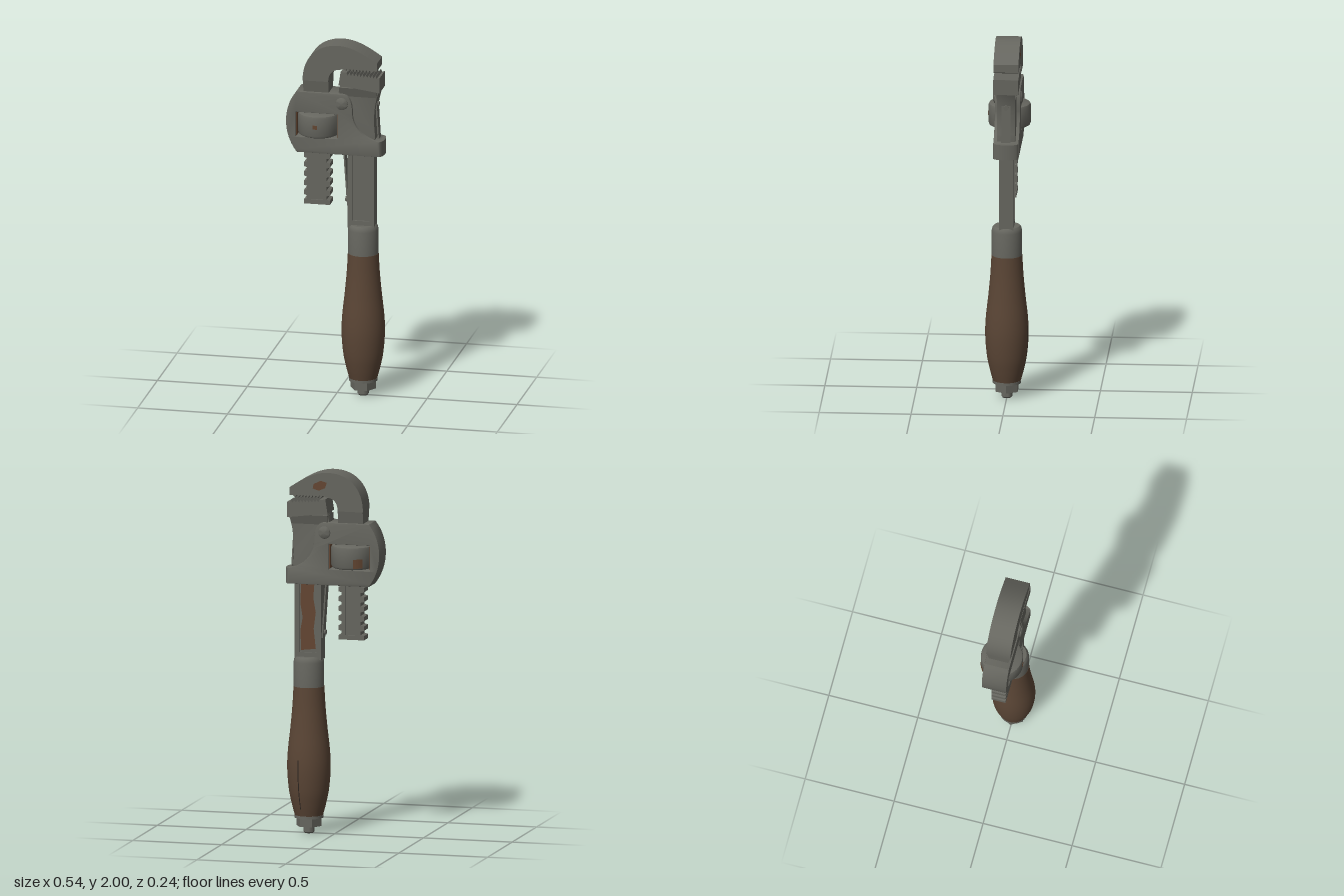
import * as THREE from 'three';
import { toCreasedNormals } from 'three/addons/utils/BufferGeometryUtils.js';

const mat = (name, color, side = THREE.FrontSide) =>
  new THREE.MeshStandardMaterial({ name, color, side });

export function createModel() {
  const group = new THREE.Group();
  const metal = mat('steel', 0x66665f);
  const wood = mat('wood', 0x5a4535);
  const rust = mat('rust', 0x634632, THREE.DoubleSide);
  const dark = mat('darkGap', 0x2c2520, THREE.DoubleSide);

  const add = (name, geometry, material, x = 0, y = 0, z = 0) => {
    const mesh = new THREE.Mesh(geometry, material);
    mesh.name = name;
    mesh.position.set(x, y, z);
    group.add(mesh);
    return mesh;
  };
  const poly = (pts) => new THREE.Shape(pts.map(([x, y]) => new THREE.Vector2(x, y)));
  const rect = (x0, y0, x1, y1) => poly([[x0, y0], [x1, y0], [x1, y1], [x0, y1]]);

  // Symmetric extrusion about z = 0, keeping the drawn outline
  const slab = (name, shape, half, bevel = 0, material = metal) => {
    const g = new THREE.ExtrudeGeometry(shape, {
      depth: 2 * (half - bevel), curveSegments: 20, bevelEnabled: bevel > 0,
      bevelSize: bevel, bevelThickness: bevel, bevelOffset: -bevel, bevelSegments: 2,
    });
    g.translate(0, 0, bevel - half);
    return add(name, toCreasedNormals(g, 0.5), material);
  };
  // Block whose half depth changes from bottom to top
  const flare = (name, x0, x1, y0, y1, bottom, top) => {
    const g = new THREE.BoxGeometry(x1 - x0, y1 - y0, 2);
    const p = g.attributes.position;
    for (let i = 0; i < p.count; i++) p.setZ(i, p.getZ(i) * (p.getY(i) > 0 ? top : bottom));
    g.computeVertexNormals();
    return add(name, g, metal, (x0 + x1) / 2, (y0 + y1) / 2);
  };
  const lathe = (name, pts, material, x, segments = 48, start = 0, length = Math.PI * 2) => {
    const g = new THREE.LatheGeometry(pts.map(([r, y]) => new THREE.Vector2(r, y)), segments, start, length);
    return add(name, toCreasedNormals(g, 0.6), material, x);
  };

  // Wooden grip
  const axis = 0.145;
  const gripCurve = new THREE.SplineCurve([
    [0.077, 0.1], [0.093, 0.16], [0.109, 0.24], [0.118, 0.35], [0.115, 0.45],
    [0.101, 0.58], [0.09, 0.7], [0.084, 0.81],
  ].map(([r, y]) => new THREE.Vector2(r, y)));
  const grip = gripCurve.getPoints(40).map((p) => [p.x, p.y]);
  lathe('grip', [[0, 0.1], ...grip, [0, 0.81]], wood, axis);
  // Split in the wood
  const crack = grip.filter(([, y]) => y > 0.13 && y < 0.42).map(([r, y]) => [r + 0.0015, y]);
  lathe('gripCrack', crack, dark, axis, 2, Math.PI - 0.28, 0.05);

  // Ferrule and end fittings
  lathe('ferrule', [[0, 0.805], [0.083, 0.805], [0.083, 0.945], [0.079, 0.965], [0.07, 0.975], [0, 0.975]], metal, axis);
  lathe('endWasher', [[0, 0.085], [0.078, 0.085], [0.078, 0.1], [0, 0.1]], metal, axis);
  const hex = new THREE.CylinderGeometry(0.07, 0.07, 0.047, 6).toNonIndexed();
  hex.computeVertexNormals();
  hex.rotateY(Math.PI / 6 * 3);
  add('endNut', hex, metal, axis, 0.0625);
  lathe('endStud', [[0, 0], [0.024, 0], [0.03, 0.008], [0.03, 0.05], [0, 0.05]], metal, axis, 24);

  // Main shank: thin web inside a raised rim
  const rim = rect(0.066, 0.96, 0.214, 1.42);
  rim.holes.push(rect(0.092, 1.0, 0.188, 1.4));
  slab('shankRim', rim, 0.04);
  slab('shankWeb', rect(0.08, 0.98, 0.2, 1.41), 0.029);
  const stain = poly([
    [0.098, 1.02], [0.18, 1.01], [0.185, 1.12], [0.172, 1.19], [0.185, 1.27],
    [0.18, 1.39], [0.105, 1.39], [0.112, 1.3], [0.098, 1.22], [0.11, 1.13],
  ]);
  add('shankRust', new THREE.ShapeGeometry(stain), rust, 0, 0, -0.0305);

  // Fixed heel jaw and its neck
  const neck = new THREE.Shape();
  neck.moveTo(0.066, 1.38);
  neck.lineTo(0.216, 1.38);
  neck.lineTo(0.222, 1.5);
  neck.quadraticCurveTo(0.205, 1.64, 0.245, 1.75);
  neck.lineTo(0.03, 1.78);
  neck.lineTo(0.01, 1.7);
  neck.lineTo(0.03, 1.5);
  slab('jawNeck', neck, 0.05, 0.004);
  flare('jawFlare', 0.024, 0.232, 1.71, 1.762, 0.05, 0.066);
  const heel = [[0.022, 1.775], [0.25, 1.745], [0.25, 1.83]];
  const teeth = 10;
  for (let i = 0; i < teeth; i++) {
    const x = 0.235 - i * 0.018, y = 1.826 + i * 0.001;
    heel.push([x, y], [x - 0.006, y + 0.015]);
  }
  heel.push([0.05, 1.85], [0.034, 1.853]);
  slab('heelJaw', poly(heel), 0.068);

  // Sliding hook jaw
  const hook = new THREE.Shape();
  hook.moveTo(-0.178, 1.79);
  hook.bezierCurveTo(-0.178, 1.92, -0.1, 2.0, 0.02, 2.0);
  hook.bezierCurveTo(0.1, 2.0, 0.17, 1.955, 0.235, 1.912);
  hook.lineTo(0.235, 1.868);
  hook.lineTo(0.215, 1.868);
  for (let i = 0; i < 9; i++) {
    const x = 0.212 - i * 0.018;
    hook.lineTo(x - 0.006, 1.856);
    hook.lineTo(x - 0.018, 1.872);
  }
  hook.lineTo(0.03, 1.864);
  hook.quadraticCurveTo(-0.035, 1.86, -0.035, 1.79);
  slab('hookJaw', hook, 0.068);
  flare('hookNeck', -0.176, -0.035, 1.7, 1.791, 0.05, 0.066);
  const patch = poly([[0.025, 1.945], [0.06, 1.955], [0.1, 1.935], [0.105, 1.91], [0.07, 1.9], [0.035, 1.915]]);
  add('hookRust', new THREE.ShapeGeometry(patch), rust, 0, 0, -0.0695);

  // Threaded rack below the hook, notched on both edges
  const left = [], right = [];
  const pitch = 0.053;
  for (let i = 0; i < 7; i++) {
    const y = 1.08 + i * pitch;
    const edge = [[0.072, y], [0.072, y + 0.024], [0.054, y + 0.029], [0.054, y + 0.048]];
    edge.forEach(([d, h]) => {
      right.push([-0.104 + d, h]);
      left.unshift([-0.104 - d, h]);
    });
  }
  const rack = poly([...right, ...left]);
  rack.holes.push(rect(-0.138, 1.105, -0.07, 1.42));
  slab('rackRim', rack, 0.04);
  slab('rackWeb', rect(-0.145, 1.09, -0.063, 1.72), 0.03);

  // Housing with a window for the adjusting nut
  const housing = new THREE.Shape();
  housing.moveTo(-0.21, 1.38);
  housing.lineTo(0.245, 1.38);
  housing.lineTo(0.245, 1.465);
  housing.bezierCurveTo(0.17, 1.48, 0.11, 1.53, 0.1, 1.6);
  housing.bezierCurveTo(0.098, 1.64, 0.1, 1.725, 0.04, 1.725);
  housing.lineTo(-0.212, 1.725);
  housing.bezierCurveTo(-0.29, 1.63, -0.29, 1.48, -0.21, 1.38);
  housing.holes.push(rect(-0.217, 1.468, 0.016, 1.608));
  slab('housing', housing, 0.069, 0.003);
  const collar = new THREE.CylinderGeometry(0.067, 0.067, 0.085, 24, 1, false, 0, Math.PI);
  collar.scale(0.4, 1, 1);
  add('collarEnd', collar, metal, 0.241, 1.4225);
  [-0.2135, 0.0125].forEach((x) =>
    add('windowRust', new THREE.BoxGeometry(0.003, 0.13, 0.12), rust, x, 1.538));

  // Adjusting nut
  lathe('adjustingNut', [
    [0, 1.475], [0.102, 1.475], [0.111, 1.48], [0.115, 1.49],
    [0.115, 1.587], [0.111, 1.597], [0.102, 1.602], [0, 1.602],
  ], metal, -0.1);
  add('nutSpot', new THREE.BoxGeometry(0.024, 0.022, 0.004), rust, -0.1, 1.54, 0.1145);
  lathe('nutRust', [[0.1163, 1.485], [0.1163, 1.535]], rust, -0.1, 8, Math.PI + 0.3, 0.45);

  // Pivot pin heads
  [1, -1].forEach((s) => {
    const pin = lathe('pivotPin', [[0.035, 0], [0.033, 0.007], [0.02, 0.014], [0, 0.016]], metal, 0.04, 24);
    pin.rotation.x = s * Math.PI / 2;
    pin.position.set(0.04, 1.67, s * 0.067);
  });

  // Leaf springs with rivets
  const leaf = (x0, y0, x1, y1, rivetX, rivetY) => {
    const dx = x1 - x0, dy = y1 - y0;
    const m = add('leafSpring', new THREE.BoxGeometry(0.008, Math.hypot(dx, dy), 0.05), metal, (x0 + x1) / 2, (y0 + y1) / 2);
    m.rotation.z = -Math.atan2(dx, dy);
    const rivet = new THREE.CylinderGeometry(0.014, 0.014, 0.025, 16);
    rivet.rotateZ(Math.PI / 2);
    add('springRivet', rivet, metal, rivetX, rivetY);
  };
  leaf(0.064, 1.08, 0.042, 1.4, 0.06, 1.11);
  leaf(0.234, 1.47, 0.22, 1.7, 0.222, 1.665);

  return group;
}
